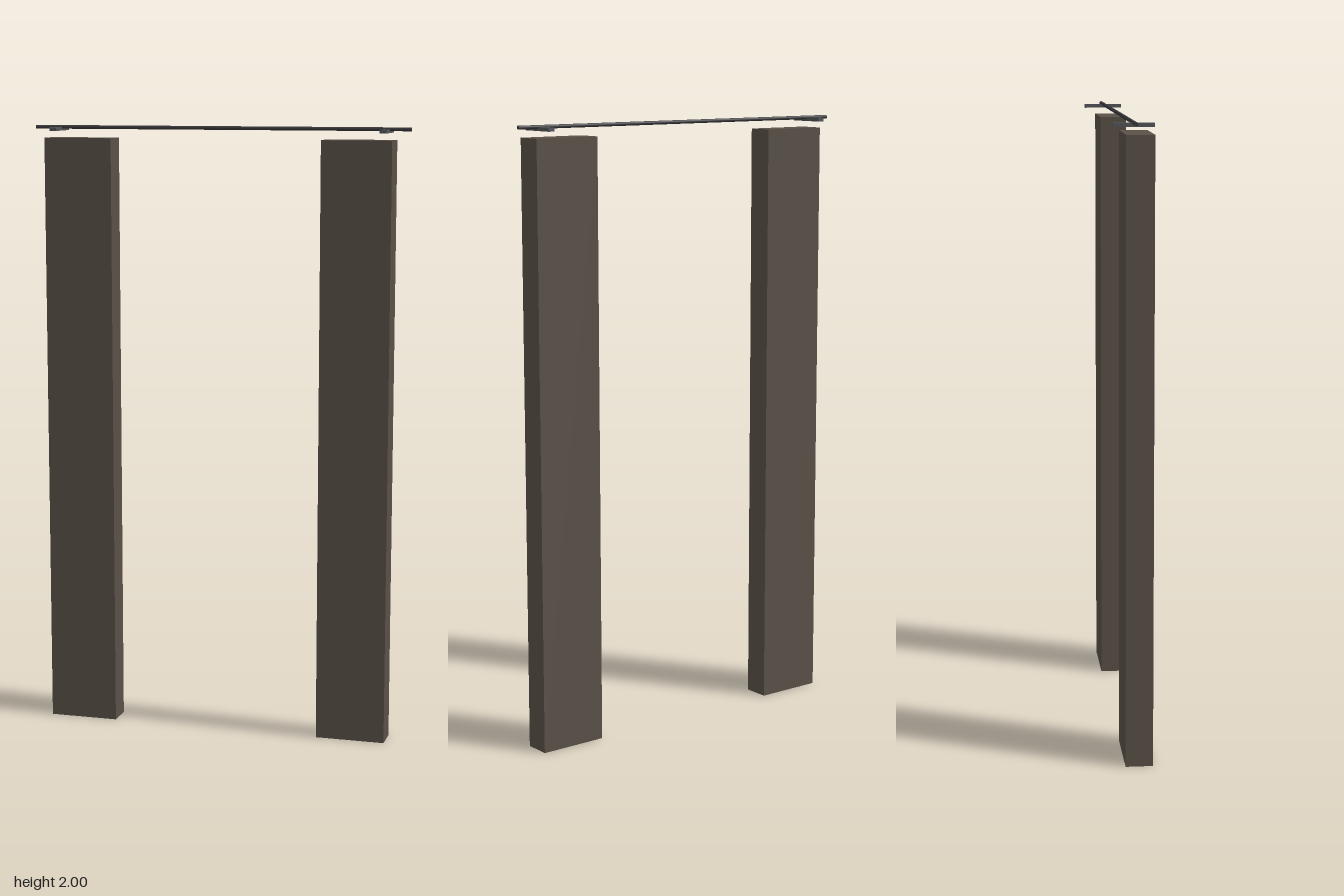
import * as THREE from 'three';

export function createModel() {
  const model = new THREE.Group();
  const fabric = new THREE.MeshStandardMaterial({ color: 0x5a5148 });
  const metal = new THREE.MeshStandardMaterial({ color: 0x55565a });
  const darkMetal = new THREE.MeshStandardMaterial({ color: 0x3a3a3d });

  const add = (name, geometry, material, x, y, z) => {
    const mesh = new THREE.Mesh(geometry, material);
    mesh.name = name;
    mesh.position.set(x, y, z);
    model.add(mesh);
    return mesh;
  };

  // Thin round rod across the top
  const rod = add('curtainRod', new THREE.CylinderGeometry(0.006, 0.006, 1.254, 16), darkMetal, 0, 1.994, 0);
  rod.rotation.z = Math.PI / 2;

  // A hanging panel and a rod bracket on each side
  for (const [side, s] of [['left', 1], ['right', -1]]) {
    add(side + 'CurtainPanel', new THREE.BoxGeometry(0.228, 1.96, 0.086), fabric, s * 0.463, 0.98, 0.018);
    add(side + 'Bracket', new THREE.BoxGeometry(0.022, 0.012, 0.125), metal, s * 0.547, 1.988, -0.001);
  }
  return model;
}
